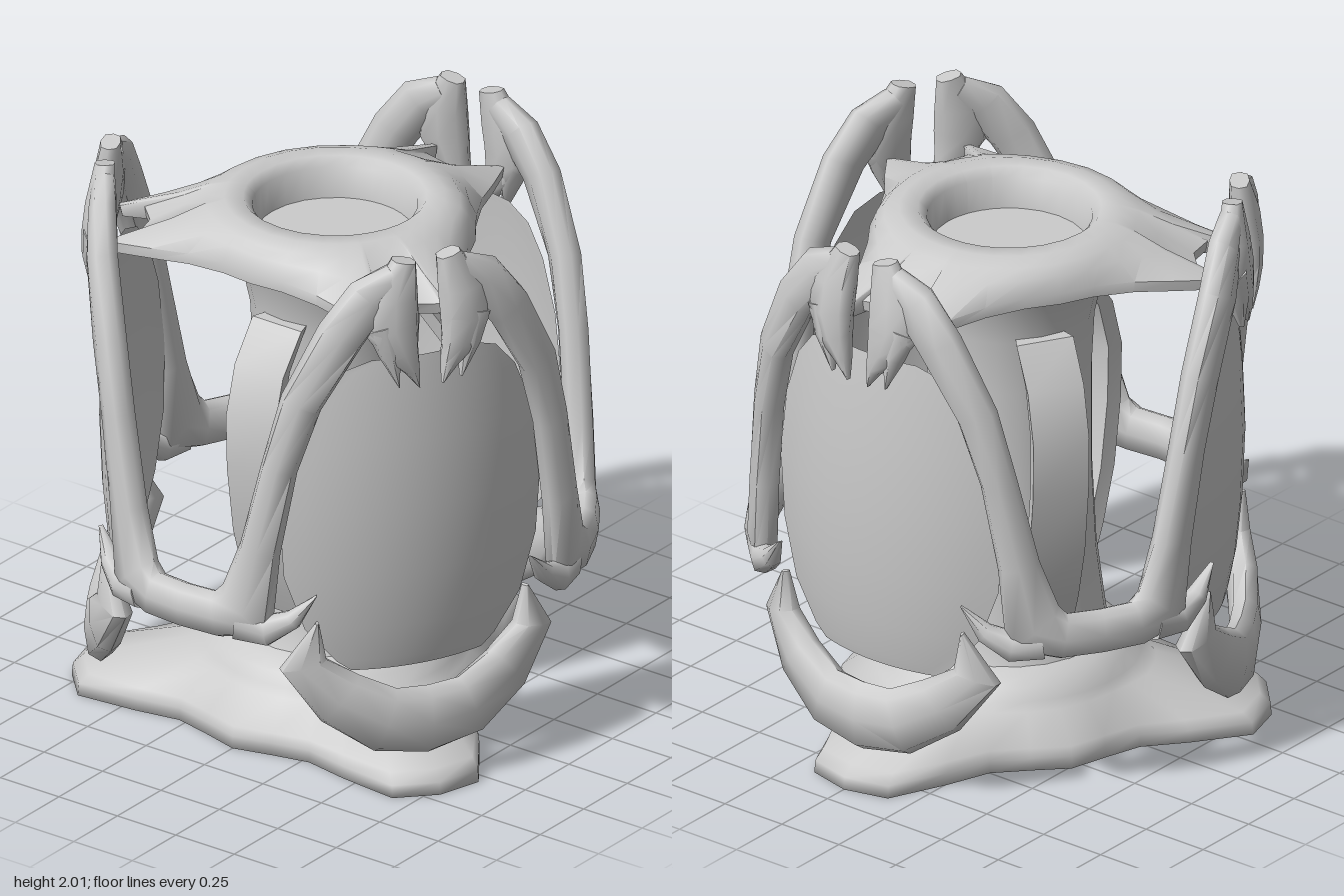
import * as THREE from 'three';
import { toCreasedNormals } from 'three/addons/utils/BufferGeometryUtils.js';

const rad = THREE.MathUtils.degToRad;
const material = new THREE.MeshStandardMaterial({ color: 0xcccccc });
const sheetMaterial = new THREE.MeshStandardMaterial({ color: 0xcccccc, side: THREE.DoubleSide });

// Point on an upright cylinder; angle 0 faces +z and grows towards +x.
const polar = (a, y, r) => new THREE.Vector3(r * Math.sin(a), y, r * Math.cos(a));

// Skin a list of equal closed rings and cap both ends.
function loft(rings, crease) {
  const n = rings[0].length, pts = rings.flat(), index = [];
  for (let i = 0; i < rings.length - 1; i++) {
    for (let j = 0; j < n; j++) {
      const a = i * n + j, b = i * n + (j + 1) % n;
      index.push(a, b, b + n, a, b + n, a + n);
    }
  }
  for (const [k, flip] of [[0, true], [rings.length - 1, false]]) {
    const centre = new THREE.Vector3();
    rings[k].forEach(p => centre.addScaledVector(p, 1 / n));
    const c = pts.push(centre) - 1;
    for (let j = 0; j < n; j++) {
      const a = k * n + j, b = k * n + (j + 1) % n;
      index.push(c, flip ? b : a, flip ? a : b);
    }
  }
  const geo = new THREE.BufferGeometry().setFromPoints(pts);
  geo.setIndex(index);
  return toCreasedNormals(geo, crease);
}

// Bar wrapped round the cylinder. Stations: [degrees, y, radius, half width, half depth].
function band(stations, sides = 8, crease = 1.1) {
  const flat = stations.map(([a, y, r]) => new THREE.Vector2(rad(a) * r, y));
  const boxy = sides === 4;
  return loft(stations.map(([a, y, r, w, t], i) => {
    const d = new THREE.Vector2();
    if (i > 0) d.add(flat[i].clone().sub(flat[i - 1]).normalize());
    if (i < flat.length - 1) d.add(flat[i + 1].clone().sub(flat[i]).normalize());
    d.normalize();
    return Array.from({ length: sides }, (_, j) => {
      const f = (j + (boxy ? 0.5 : 0)) / sides * Math.PI * 2, e = boxy ? 0.001 : 0.75;
      const s = Math.sign(Math.cos(f)) * Math.abs(Math.cos(f)) ** e * w;
      const q = Math.sign(Math.sin(f)) * Math.abs(Math.sin(f)) ** e * t;
      return polar(rad(a) - d.y * s / r, y + d.x * s, r + q);
    });
  }), crease);
}

const mirror = stations => stations.map(([a, ...rest]) => [-a, ...rest]);
const bothWays = half => [...mirror(half.slice(1)).reverse(), ...half];

// Three-armed ring: half-sector outline of [degrees, radius], blended from a circle r by k.
// The ring sinks by droop per unit of reach beyond that circle.
function starRing(outline, y, r, k, droop = 0) {
  const sector = [...outline, ...outline.slice(1, -1).reverse().map(([a, b]) => [120 - a, b])];
  return [0, 120, 240].flatMap(turn => sector.map(([a, b]) => {
    const reach = (b - r) * k;
    return polar(rad(a + turn), y - droop * reach, r + reach);
  }));
}

function add(parent, name, geometry, mat = material) {
  const mesh = new THREE.Mesh(geometry, mat);
  mesh.name = name;
  parent.add(mesh);
}

// Curved oval panel, [y, half angle, radius] per row.
function panelGeometry() {
  const rows = [[0.43, 19, 0.745], [0.47, 23, 0.755], [0.6, 31, 0.78], [0.8, 36, 0.8], [1.05, 37, 0.81],
    [1.3, 34, 0.8], [1.48, 28.5, 0.785], [1.58, 22, 0.775], [1.62, 14, 0.77]];
  const cols = 12, geo = new THREE.PlaneGeometry(1, 1, cols, rows.length - 1);
  const pos = geo.attributes.position;
  rows.forEach(([y, half, r], i) => {
    for (let j = 0; j <= cols; j++) {
      const p = polar(rad(half * (1 - 2 * j / cols)), y, r);
      pos.setXYZ(i * (cols + 1) + j, p.x, p.y, p.z);
    }
  });
  geo.computeVertexNormals();
  return geo;
}

export function createModel() {
  const model = new THREE.Group();

  // Three-footed base, softly shaded all over
  const foot = [[0, 0.59], [14, 0.57], [28, 0.59], [39, 0.71], [49.5, 0.885], [60, 0.91]];
  add(model, 'base', loft([[0, 0.5, 1], [0.045, 0.5, 0.99], [0.08, 0.5, 0.9], [0.17, 0.45, 0.12],
    [0.2, 0.44, 0.03], [0.24, 0.42, 0], [0.265, 0.38, 0], [0.29, 0.335, 0]]
    .map(([y, r, k]) => starRing(foot, y, r, k)), 3));

  // Central column
  const profile = [[0.38, 0.24], [0.34, 0.29], [0.325, 0.4], [0.3, 0.6], [0.285, 0.9], [0.285, 1.3],
    [0.295, 1.5], [0.325, 1.64], [0.37, 1.73]];
  add(model, 'column', new THREE.LatheGeometry(profile.map(p => new THREE.Vector2(...p)), 24));

  // Crown with drooping forked arms and a round well
  const crown = [[0, 0.485], [15, 0.49], [30, 0.55], [40, 0.65], [48.7, 0.78], [50.3, 0.77], [50.8, 0.68], [60, 0.64]];
  add(model, 'crown', loft([[1.6, 0.3, 0, 0], [1.66, 0.335, 0, 0], [1.7, 0.4, 0.1, 0], [1.735, 0.46, 0.97, 0.13],
    [1.775, 0.46, 1, 0.13], [1.83, 0.45, 0.35, 0.2], [1.86, 0.43, 0.06, 0], [1.88, 0.38, 0, 0], [1.88, 0.315, 0, 0],
    [1.85, 0.285, 0, 0], [1.74, 0.27, 0, 0]].map(ring => starRing(crown, ...ring)), 0.95));

  // Yoke: lower bar with a strut rising on each side
  const yoke = band(bothWays([
    [0, 0.655, 0.86, 0.083, 0.05], [9, 0.655, 0.86, 0.085, 0.05], [16, 0.69, 0.855, 0.12, 0.052],
    [19.2, 0.93, 0.855, 0.073, 0.052], [23.8, 1.25, 0.855, 0.064, 0.052], [28.8, 1.5, 0.85, 0.073, 0.052],
    [38, 1.75, 0.83, 0.085, 0.052], [45, 1.88, 0.807, 0.085, 0.05], [52, 1.945, 0.793, 0.055, 0.04]]));
  // Horn at the top of a strut, running down to a point, with a second point beside it
  const horn = [[54, 2, 0.79, 0.045, 0.035], [50.8, 1.87, 0.807, 0.092, 0.052], [50.6, 1.76, 0.82, 0.096, 0.052],
    [52.8, 1.67, 0.825, 0.064, 0.045], [55.3, 1.6, 0.828, 0.028, 0.03], [57, 1.53, 0.83, 0.002, 0.01]];
  const sidePoint = [[48, 1.78, 0.82, 0.06, 0.048], [49.8, 1.67, 0.826, 0.04, 0.042], [52, 1.54, 0.83, 0.002, 0.01]];
  const cornerSpike = [[14, 0.64, 0.86, 0.068, 0.045], [21, 0.625, 0.86, 0.055, 0.048],
    [27, 0.675, 0.86, 0.035, 0.035], [32.5, 0.77, 0.86, 0.002, 0.008]];
  const points = { horn, sidePoint, cornerSpike };

  // Crescent guard below each panel
  const crescent = band(bothWays([
    [0, 0.245, 0.805, 0.128, 0.055], [11, 0.265, 0.81, 0.122, 0.055], [22, 0.36, 0.82, 0.11, 0.055],
    [31, 0.49, 0.83, 0.085, 0.05], [27.5, 0.655, 0.84, 0.006, 0.015]]));

  // Bowed rib standing off the column
  const rib = band([[0.43, 0.32], [0.55, 0.37], [0.75, 0.43], [1, 0.465], [1.2, 0.47], [1.38, 0.42], [1.52, 0.32]]
    .map(([y, r]) => [0, y, r, 0.097, 0.03]), 4, 0.4);
  const panel = panelGeometry();

  for (let i = 0; i < 3; i++) {
    const side = new THREE.Group();
    side.name = 'yokeSide' + (i + 1);
    side.rotation.y = rad(120 * i);
    add(side, 'yoke', yoke);
    add(side, 'rib', rib);
    for (const [name, stations] of Object.entries(points)) {
      add(side, name + 'Left', band(stations));
      add(side, name + 'Right', band(mirror(stations)));
    }
    const bay = new THREE.Group();
    bay.name = 'panelBay' + (i + 1);
    bay.rotation.y = rad(60 + 120 * i);
    add(bay, 'panel', panel, sheetMaterial);
    add(bay, 'crescentGuard', crescent);
    model.add(side, bay);
  }
  return model;
}
